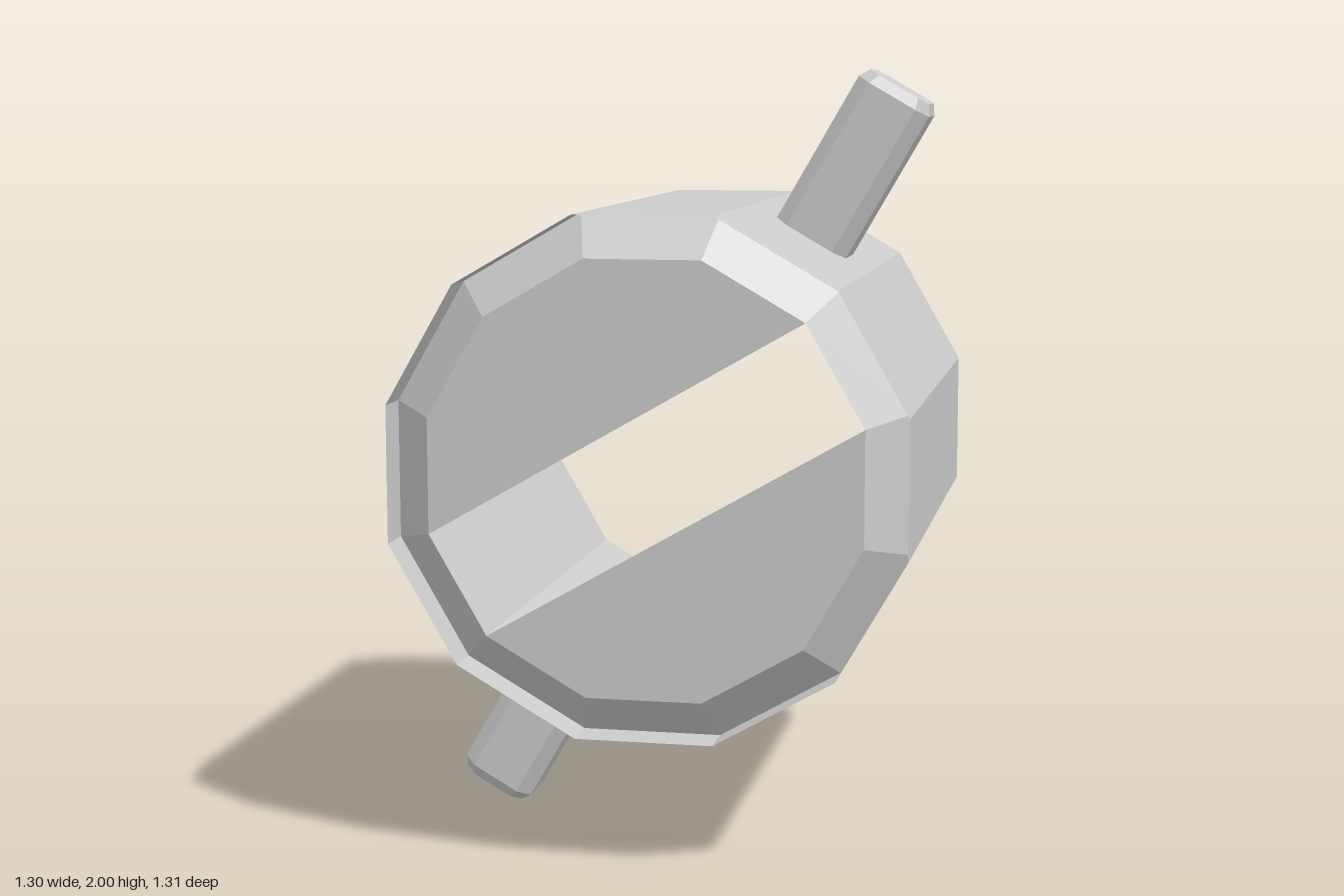
import * as THREE from 'three';

const SIDES = 12, STEP = Math.PI / 6, START = Math.PI / 12;
const OUTER = 0.675, INNER = 0.565, HALF = 0.655, GROOVE = 0.105;

const grey = new THREE.MeshStandardMaterial({ color: 0xcccccc, flatShading: true, side: THREE.DoubleSide });

function add(parent, name, geometry, z = 0) {
  const mesh = new THREE.Mesh(geometry, grey);
  mesh.name = name;
  mesh.position.z = z;
  parent.add(mesh);
  return mesh;
}

// Open twelve-sided wall along z, with its front and back radius
function wall(front, back, length) {
  return new THREE.CylinderGeometry(front, back, length, SIDES, 1, true, START).rotateX(Math.PI / 2);
}

// Part of the front plate: a polygon through six neighbouring corners of the bore
function plate(firstCorner) {
  const points = [];
  for (let i = 0; i < 6; i++) {
    const a = START + (firstCorner + i) * STEP;
    points.push(new THREE.Vector2(Math.cos(a) * INNER, Math.sin(a) * INNER));
  }
  return new THREE.ShapeGeometry(new THREE.Shape(points));
}

// Solid lofted along y from sections of [x, z] points, closed at both ends
function loft(sections) {
  const n = sections[0].points.length, position = [], index = [];
  for (const s of sections) for (const [x, z] of s.points) position.push(x, s.y, z);
  for (let s = 0; s < sections.length - 1; s++) {
    for (let i = 0; i < n; i++) {
      const a = s * n + i, b = s * n + (i + 1) % n;
      index.push(a, a + n, b, b, a + n, b + n);
    }
  }
  const top = (sections.length - 1) * n;
  for (let i = 1; i < n - 1; i++) {
    index.push(0, i, i + 1);
    index.push(top, top + i + 1, top + i);
  }
  const g = new THREE.BufferGeometry();
  g.setAttribute('position', new THREE.Float32BufferAttribute(position, 3));
  g.setIndex(index);
  const flat = g.toNonIndexed();
  flat.computeVertexNormals();
  return flat;
}

// Rectangle with cut corners
function octagon(w, d, c) {
  return [[w, -d + c], [w, d - c], [w - c, d], [-w + c, d], [-w, d - c], [-w, -d + c], [-w + c, -d], [w - c, -d]];
}

function makePin(name, angle) {
  const pin = new THREE.Group();
  pin.name = name;
  add(pin, 'pinShaft', loft([
    { y: 0.6, points: octagon(0.105, 0.109, 0.036) },
    { y: 1.075, points: octagon(0.105, 0.109, 0.036) },
    { y: 1.103, points: octagon(0.088, 0.093, 0.03) },
  ]));
  // Sharp three-sided rib on the rear face
  const rib = [[0.04, -0.1], [-0.04, -0.1], [0, -0.157]];
  add(pin, 'pinRib', loft([{ y: 0.6, points: rib }, { y: 1.075, points: rib }]));
  pin.rotation.z = angle;
  return pin;
}

export function createModel() {
  const model = new THREE.Group();
  model.name = 'drumWithPins';
  const body = new THREE.Group();
  body.name = 'body';
  body.position.y = 1;
  model.add(body);

  // Two walls with a gap open at the back, closed near the front by a sloped collar
  add(body, 'outerWall', wall(OUTER, OUTER, 2 * HALF));
  add(body, 'innerWall', wall(INNER, INNER, 2 * HALF));
  add(body, 'frontCollar', wall(INNER, OUTER, GROOVE), HALF - GROOVE / 2);

  // Two plates leaving a slanted slot across the front
  add(body, 'upperPlate', plate(1), HALF);
  add(body, 'lowerPlate', plate(7), HALF);

  // Opposed pins on one slanted axis
  body.add(makePin('upperPin', -Math.PI / 6));
  body.add(makePin('lowerPin', Math.PI * 5 / 6));
  return model;
}
